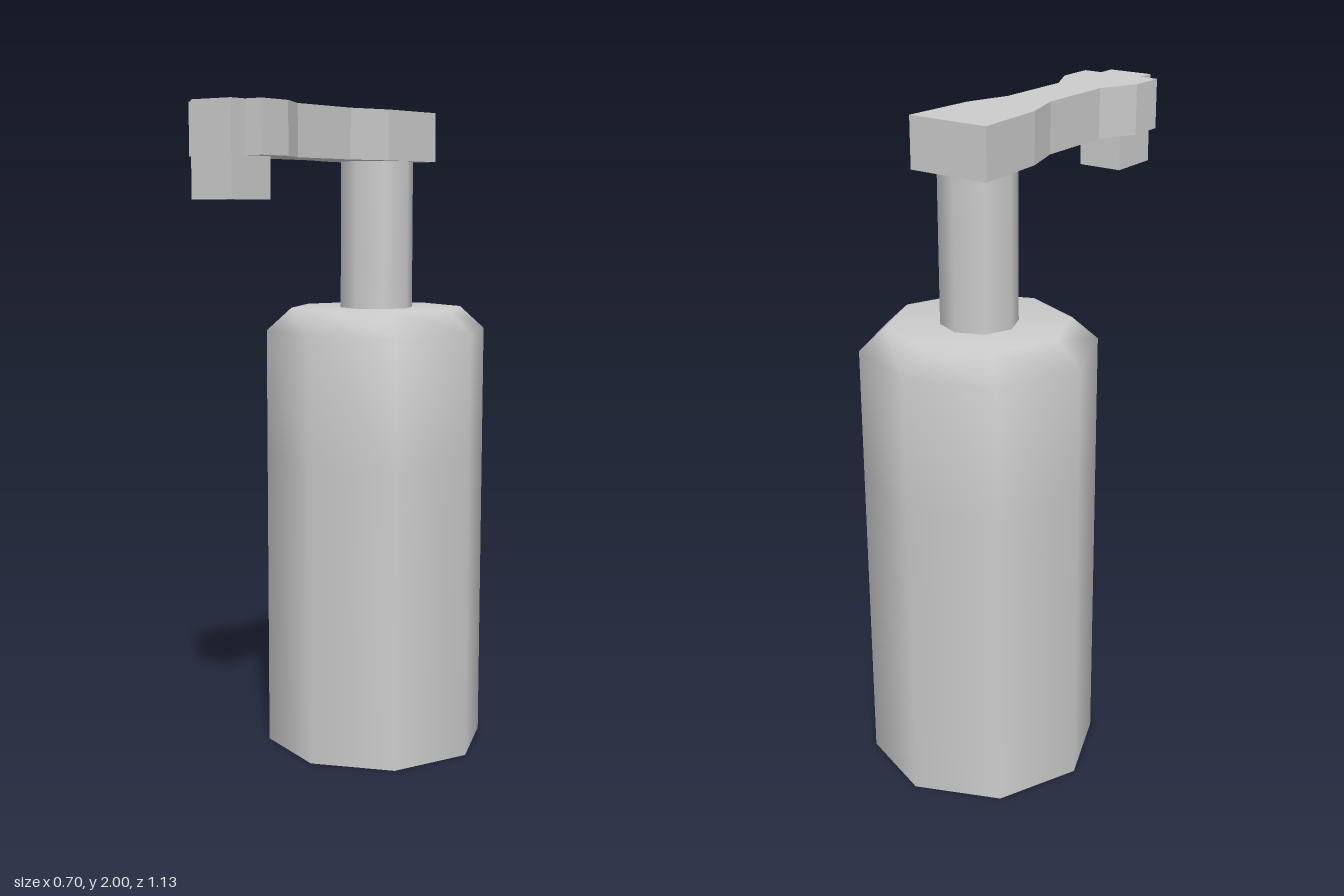
import * as THREE from 'three';

const AXIS_Z = -0.218; // bottle axis
const SIDES = 8;

export function createModel() {
  const model = new THREE.Group();
  const material = new THREE.MeshStandardMaterial({ color: 0xcccccc });
  const add = (name, geometry, x = 0, y = 0, z = 0) => {
    const mesh = new THREE.Mesh(geometry, material);
    mesh.name = name;
    mesh.position.set(x, y, z);
    model.add(mesh);
  };

  // Eight-sided bottle with a smooth bevelled shoulder
  const profile = [[0.348, 0], [0.348, 0.93], [0.348, 1.33], [0.27, 1.4], [0, 1.4]]
    .map(([r, y]) => new THREE.Vector2(r, y));
  add('bottle', new THREE.LatheGeometry(profile, SIDES), 0, 0, AXIS_Z);

  // Flat base, corners aligned with the bottle
  add('base', new THREE.CircleGeometry(0.348, SIDES).rotateX(Math.PI / 2), 0, 0, AXIS_Z);

  // Pump neck
  add('neck', new THREE.CylinderGeometry(0.114, 0.114, 0.45, SIDES), 0, 1.625, AXIS_Z);

  // Pump head: mirrored waisted outline (half width, z), extruded downwards
  const half = [[0.13, -0.35], [0.116, -0.11], [0.074, 0.025], [0.074, 0.28], [0.13, 0.395], [0.13, 0.51]];
  const outline = [...half, ...half.map(([x, z]) => [-x, z]).reverse()]
    .map(([x, z]) => new THREE.Vector2(x, z));
  const head = new THREE.ExtrudeGeometry(new THREE.Shape(outline), { depth: 0.15, bevelEnabled: false });
  add('pumpHead', head.rotateX(Math.PI / 2), 0, 2, 0);

  // Spout block through the front of the head
  add('spout', new THREE.BoxGeometry(0.143, 0.268, 0.167), 0, 1.866, 0.4845);

  return model;
}
